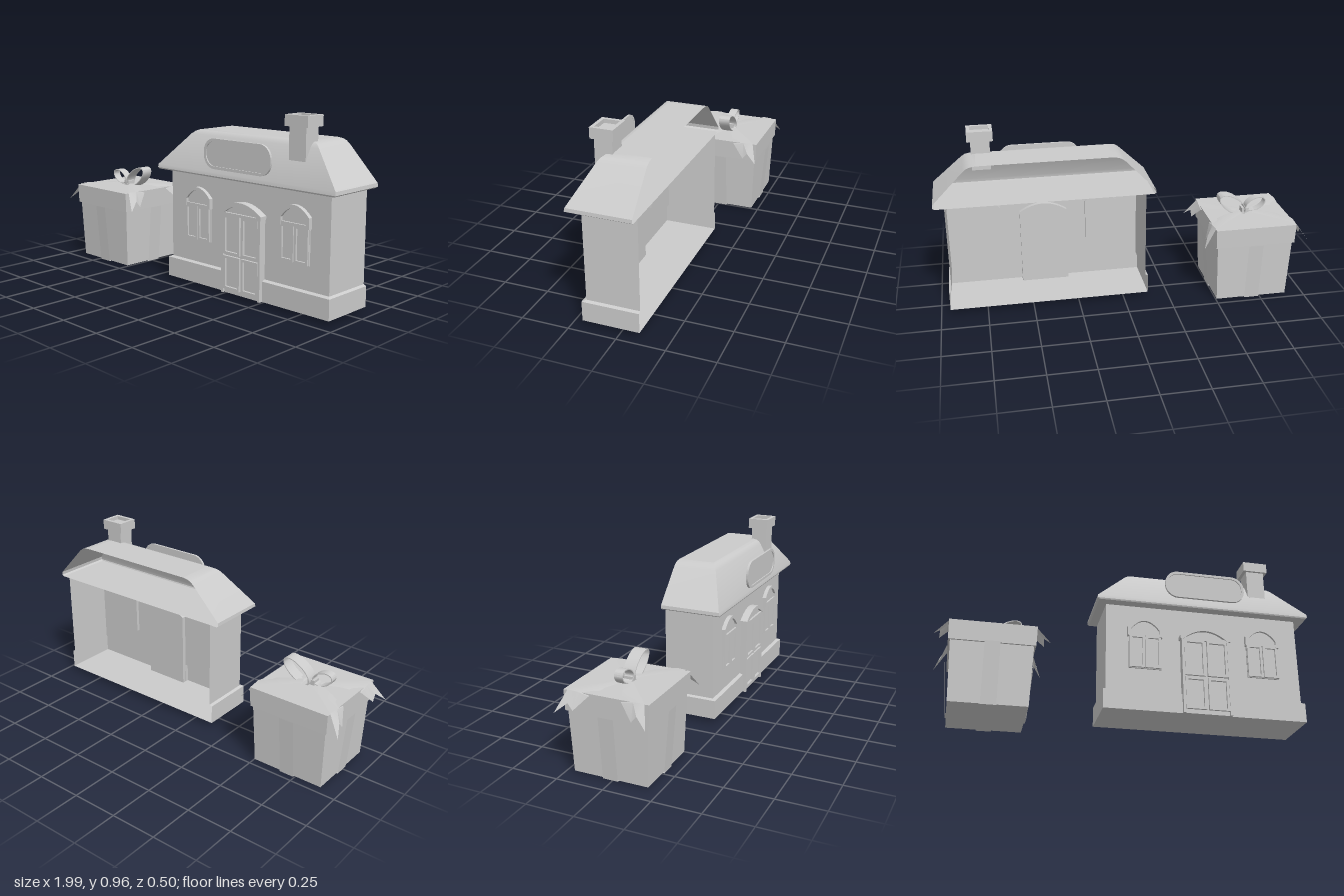
import * as THREE from 'three';
import { toCreasedNormals } from 'three/addons/utils/BufferGeometryUtils.js';

const mat = new THREE.MeshStandardMaterial({ color: 0xcccccc, side: THREE.DoubleSide });

function add(parent, name, geo, x = 0, y = 0, z = 0) {
  const m = new THREE.Mesh(toCreasedNormals(geo, 0.5), mat);
  m.name = name;
  m.position.set(x, y, z);
  parent.add(m);
  return m;
}

const box = (x0, x1, y0, y1, z0, z1) =>
  new THREE.BoxGeometry(x1 - x0, y1 - y0, z1 - z0)
    .translate((x0 + x1) / 2, (y0 + y1) / 2, (z0 + z1) / 2);

// Surface through rows of points
function loft(rows) {
  const n = rows[0].length, idx = [];
  for (let r = 0; r < rows.length - 1; r++)
    for (let i = 0; i < n - 1; i++) {
      const a = r * n + i, b = a + n;
      idx.push(a, a + 1, b + 1, a, b + 1, b);
    }
  const g = new THREE.BufferGeometry();
  g.setAttribute('position', new THREE.Float32BufferAttribute(rows.flat(2), 3));
  g.setIndex(idx);
  return g;
}

// Three-sided outline, open at the back
const BACK = -0.1;
const openRow = (x0, x1, zf, y) => [[x0, y, BACK], [x0, y, zf], [x1, y, zf], [x1, y, BACK]];

const extrude = (shape, z0, z1) =>
  new THREE.ExtrudeGeometry(shape, { depth: z1 - z0, bevelEnabled: false, curveSegments: 12 })
    .translate(0, 0, z0);

// Door or window outline with a shallow arched top
function archShape(hw, y0, ySide, yTop) {
  const s = new THREE.Shape();
  s.moveTo(-hw, y0);
  s.lineTo(hw, y0);
  s.lineTo(hw, ySide);
  s.quadraticCurveTo(0, 2 * yTop - ySide, -hw, ySide);
  s.closePath();
  return s;
}

// Arched moulding of width t
function hoodShape(hw, y0, ySide, yTop, t) {
  const s = new THREE.Shape();
  s.moveTo(-hw, y0);
  s.lineTo(-hw, ySide);
  s.quadraticCurveTo(0, 2 * yTop - ySide, hw, ySide);
  s.lineTo(hw, y0);
  s.lineTo(hw - t, y0);
  s.lineTo(hw - t, ySide - t);
  s.quadraticCurveTo(0, 2 * yTop - ySide - t, t - hw, ySide - t);
  s.lineTo(t - hw, y0);
  s.closePath();
  return s;
}

function rectShape(x0, x1, y0, y1, t) {
  const loop = (p, i) => {
    p.moveTo(x0 + i, y0 + i);
    p.lineTo(x1 - i, y0 + i);
    p.lineTo(x1 - i, y1 - i);
    p.lineTo(x0 + i, y1 - i);
    p.closePath();
    return p;
  };
  const s = loop(new THREE.Shape(), 0);
  s.holes.push(loop(new THREE.Path(), t));
  return s;
}

function stadium(Type, hw, hh, r) {
  const s = new Type();
  s.absarc(hw - r, hh - r, r, 0, Math.PI / 2);
  s.absarc(r - hw, hh - r, r, Math.PI / 2, Math.PI);
  s.absarc(r - hw, r - hh, r, Math.PI, Math.PI * 1.5);
  s.absarc(hw - r, r - hh, r, Math.PI * 1.5, Math.PI * 2);
  s.closePath();
  return s;
}

function createHouse() {
  const house = new THREE.Group();
  house.name = 'house';

  // Open-backed shell
  add(house, 'floor', loft([[[-0.135, 0.027, BACK], [0.95, 0.027, BACK]], [[-0.135, 0.027, 0.197], [0.95, 0.027, 0.197]]]));
  add(house, 'plinth', loft([
    openRow(-0.135, 0.95, 0.197, 0.027), openRow(-0.135, 0.95, 0.197, 0.132),
    openRow(-0.12, 0.935, 0.178, 0.139)]));
  add(house, 'walls', loft([openRow(-0.12, 0.935, 0.178, 0.139), openRow(-0.12, 0.935, 0.178, 0.62)]));
  add(house, 'ceiling', loft([[[-0.165, 0.62, BACK], [0.985, 0.62, BACK]], [[-0.165, 0.62, 0.23], [0.985, 0.62, 0.23]]]));

  // Hipped roof: height, inset from the ends, front edge
  const levels = [[0.62, 0.01, 0.23], [0.627, 0, 0.233], [0.645, 0.002, 0.23], [0.815, 0.166, 0.142],
    [0.83, 0.185, 0.13], [0.838, 0.205, 0.118], [0.842, 0.235, 0.1]];
  add(house, 'roof', loft(levels.map(([y, i, z]) => openRow(-0.175 + i, 0.995 - i, z, y))));
  add(house, 'ridge', loft([[[0.06, 0.842, 0.1], [0.76, 0.842, 0.1]], [[0.06, 0.842, BACK], [0.76, 0.842, BACK]]]));

  // Chimney with a recessed cap
  add(house, 'chimneyStack', box(0.68, 0.78, 0.75, 0.91, 0.085, 0.176));
  const ring = rectShape(-0.068, 0.068, -0.059, 0.059, 0.018);
  add(house, 'chimneyCap', extrude(ring, 0, 0.055).rotateX(-Math.PI / 2), 0.73, 0.91, 0.13);
  add(house, 'chimneyCapFloor', box(0.675, 0.785, 0.91, 0.945, 0.08, 0.18));

  // Windows
  for (const x of [0.087, 0.733]) {
    const w = new THREE.Group();
    w.name = 'window';
    w.position.x = x;
    add(w, 'windowPanel', extrude(archShape(0.087, 0.262, 0.49, 0.54), 0.16, 0.187));
    add(w, 'windowHood', extrude(hoodShape(0.093, 0.44, 0.495, 0.546, 0.016), 0.178, 0.2));
    add(w, 'windowRail', box(-0.088, 0.088, 0.445, 0.458, 0.178, 0.197));
    for (const s of [0, 1])
      add(w, 'sash', extrude(rectShape(-0.085 + s * 0.087, -0.002 + s * 0.087, 0.265, 0.447, 0.013), 0.18, 0.197));
    house.add(w);
  }

  // Door
  const door = new THREE.Group();
  door.name = 'door';
  door.position.x = 0.41;
  add(door, 'doorPanel', extrude(archShape(0.13, 0.027, 0.455, 0.5), 0.155, 0.205));
  add(door, 'doorHood', extrude(hoodShape(0.137, 0.44, 0.46, 0.51, 0.018), 0.178, 0.22));
  add(door, 'doorRail', box(-0.13, 0.13, 0.436, 0.45, 0.178, 0.217));
  for (const s of [-1, 1]) {
    add(door, 'doorJamb', box(s * 0.124 - 0.007, s * 0.124 + 0.007, 0.027, 0.445, 0.178, 0.217));
    for (const [y0, y1] of [[0.05, 0.225], [0.235, 0.436]])
      add(door, 'doorPane', extrude(rectShape(s * 0.061 - 0.055, s * 0.061 + 0.055, y0, y1, 0.013), 0.2, 0.217));
  }
  house.add(door);

  // Blank rounded sign in front of the roof
  const rim = stadium(THREE.Shape, 0.22, 0.077, 0.07);
  rim.holes.push(stadium(THREE.Path, 0.206, 0.063, 0.058));
  add(house, 'signRim', extrude(rim, 0.238, 0.25), 0.41, 0.744);
  add(house, 'signPanel', extrude(stadium(THREE.Shape, 0.21, 0.067, 0.062), 0.239, 0.244), 0.41, 0.744);
  return house;
}

function createGift() {
  const gift = new THREE.Group();
  gift.name = 'gift';
  gift.position.set(-0.702, 0, -0.012);

  // Tapered body and lid
  const frustum = (bottom, top, h) =>
    new THREE.CylinderGeometry(top * Math.SQRT2, bottom * Math.SQRT2, h, 4).rotateY(Math.PI / 4);
  add(gift, 'giftBody', frustum(0.198, 0.211, 0.35), 0, 0.18, 0);
  add(gift, 'giftLid', frustum(0.22, 0.223, 0.107), 0, 0.3815, 0);

  // Crossed ribbons under and up the sides
  const path = [[-0.231, 0.33], [-0.203, 0.001], [0.203, 0.001], [0.231, 0.33]];
  for (const turn of [0, 1]) {
    const g = loft(path.map(([x, y]) => [[x, y, -0.04], [x, y, 0.04]]));
    add(gift, 'bodyRibbon', g.rotateY(turn * Math.PI / 2));
  }

  // Four ribbon tails fanning to the corners, with forked drooping ends
  for (const sx of [-1, 1])
    for (const sz of [-1, 1]) {
      const rows = [
        [[0.03, 0.445, 0.04], [0.04, 0.447, 0.02], [0.05, 0.445, 0]],
        [[0.14, 0.442, 0.13], [0.14, 0.444, 0.085], [0.14, 0.442, 0.045]],
        [[0.222, 0.438, 0.2], [0.228, 0.438, 0.145], [0.228, 0.425, 0.085]],
        [[0.292, 0.34, 0.237], [0.262, 0.388, 0.178], [0.265, 0.355, 0.152]]];
      add(gift, 'ribbonTail', loft(rows.map(r => r.map(([x, y, z]) => [sx * x, y, sz * z]))));
    }

  // Bow: two elliptical band loops and a knot
  const loops = [[-0.06, 0.48, 0.06, 0.036, -0.42, 0.045], [0.078, 0.491, 0.09, 0.043, 0.6, 0.065]];
  for (const [x, y, a, b, tilt, width] of loops) {
    const s = new THREE.Shape();
    s.absellipse(0, 0, a, b, 0, Math.PI * 2);
    const hole = new THREE.Path();
    hole.absellipse(0, 0, a - 0.005, b - 0.005, 0, Math.PI * 2);
    s.holes.push(hole);
    const m = add(gift, 'bowLoop', extrude(s, -width / 2, width / 2), x, y, 0.01 - (width - 0.045) / 2);
    m.rotation.z = tilt;
  }
  add(gift, 'bowKnot', box(-0.02, 0.02, 0.435, 0.462, -0.015, 0.03));
  return gift;
}

export function createModel() {
  const model = new THREE.Group();
  model.name = 'houseAndGift';
  model.add(createHouse(), createGift());
  return model;
}
